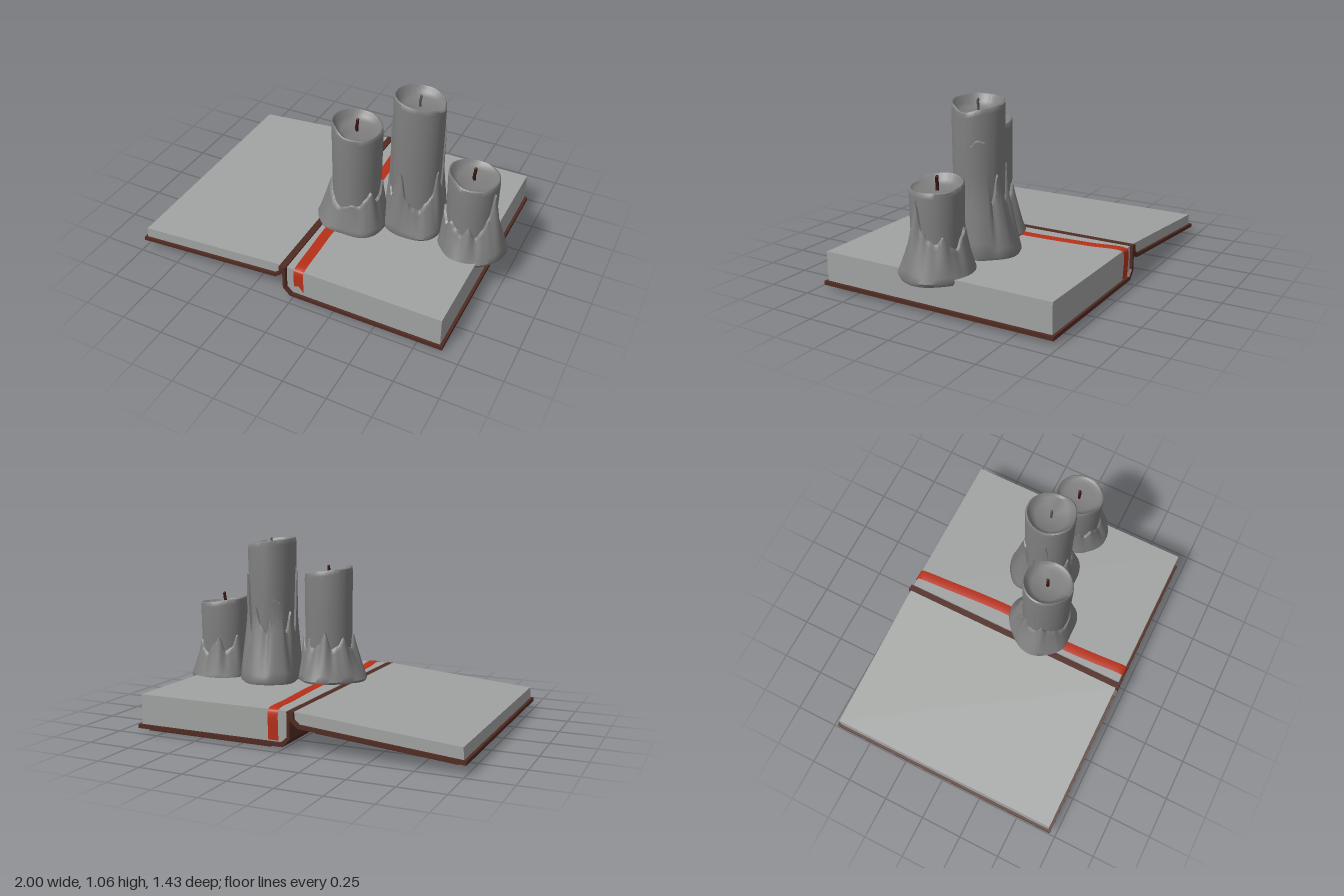
import * as THREE from 'three';
import { toCreasedNormals } from 'three/addons/utils/BufferGeometryUtils.js';

const mat = (color, side = THREE.FrontSide) => new THREE.MeshStandardMaterial({ color, side });
const paper = mat(0xa0a3a1), wax = mat(0x7e7e7e), leather = mat(0x502b22), darkLeather = mat(0x48241b);
const red = mat(0xb83018, THREE.DoubleSide), darkWick = mat(0x3a1512), greyWick = mat(0x5a5656);

function add(parent, name, geometry, material) {
  const mesh = new THREE.Mesh(geometry, material);
  mesh.name = name;
  parent.add(mesh);
  return mesh;
}

// Side profile (x, y) extruded along z, centred
function slab(points, depth) {
  const shape = new THREE.Shape(points.map(p => new THREE.Vector2(...p)));
  return new THREE.ExtrudeGeometry(shape, { depth, bevelEnabled: false }).translate(0, 0, -depth / 2);
}

// Eased value from a ring of evenly spaced samples; angle 0 is front, a quarter turn is +x
function ring(samples, angle) {
  const n = samples.length, f = (angle / (Math.PI * 2)) * n, i = Math.floor(f);
  return THREE.MathUtils.lerp(samples[i % n], samples[(i + 1) % n], THREE.MathUtils.smoothstep(f - i, 0, 1));
}

// Uneven lathe: each row is a rule angle -> [radius, y], listed so the outside goes up
function unevenLathe(rows, crease, n = 96) {
  const pos = [], index = [];
  rows.forEach(rule => {
    for (let i = 0; i < n; i++) {
      const a = (i / n) * Math.PI * 2, [r, y] = rule(a);
      pos.push(Math.sin(a) * r, y, Math.cos(a) * r);
    }
  });
  for (let j = 0; j < rows.length - 1; j++) {
    for (let i = 0; i < n; i++) {
      const a = j * n + i, b = j * n + (i + 1) % n;
      index.push(a, b, b + n, a, b + n, a + n);
    }
  }
  const g = new THREE.BufferGeometry();
  g.setAttribute('position', new THREE.Float32BufferAttribute(pos, 3));
  g.setIndex(index);
  return toCreasedNormals(g, crease);
}

function makeCandle({ name, x, z, base, rim, skirt, drips, pool, wick }) {
  const group = new THREE.Group();
  group.name = name;
  group.position.set(x, 0, z);
  const R = 0.141;
  const wobble = a => R + 0.003 * Math.sin(3 * a + x * 9);
  const top = a => ring(rim, a);

  // Shaft with a ragged thin rim and a sunken pool
  add(group, 'candleShaft', unevenLathe([
    a => [wobble(a) - 0.004, base],
    a => [wobble(a), base + (top(a) - base) * 0.6],
    a => [wobble(a) + 0.002, top(a) - 0.03],
    a => [wobble(a), top(a) - 0.005],
    a => [R - 0.006, top(a)],
    a => [R - 0.013, top(a) - 0.008],
    a => [R - 0.025, top(a) * 0.4 + pool * 0.6],
    a => [R - 0.05, pool + 0.006],
    () => [0.002, pool],
  ], 0.9), wax);

  // Melted skirt, its upper edge rising into drips
  const rows = [() => [0.002, base], a => [ring(skirt, a) - 0.01, base]];
  for (let k = 0; k <= 8; k++) {
    const t = k / 8;
    rows.push(a => {
      const y = 0.02 + (ring(drips, a) - base - 0.02) * t;
      const spread = Math.min((1 - t) ** 1.1, Math.max(0, 1 - (y - 0.02) / 0.36));
      return [0.151 + (ring(skirt, a) - 0.151) * spread, base + y];
    });
  }
  rows.push(a => [R - 0.008, ring(drips, a) + 0.012]);
  add(group, 'meltedWax', unevenLathe(rows, 0.8), wax);

  // Slightly bent wick
  const { height, radius, material } = wick;
  const path = new THREE.CatmullRomCurve3([[0, -0.01, 0], [-0.003, height * 0.4, 0], [0.001, height * 0.7, 0], [0.002, height, -0.002]]
    .map(([px, py, pz]) => new THREE.Vector3(px, pool + py, pz)));
  add(group, 'wick', new THREE.TubeGeometry(path, 8, radius, 8), material);
  const tip = add(group, 'wickTip', new THREE.SphereGeometry(radius, 8, 6), material);
  tip.position.copy(path.getPoint(1));
  return group;
}

// Flat ribbon laid along a path, width along x, ending in a swallowtail
function makeRibbon() {
  const curve = new THREE.CatmullRomCurve3([
    [0.045, 0.05, -0.707], [0.045, 0.2, -0.709], [0.046, 0.215, -0.697], [0.06, 0.215, -0.5], [0.075, 0.215, -0.25],
    [0.078, 0.215, -0.08], [0.05, 0.215, 0.15], [0.03, 0.215, 0.3], [0.035, 0.215, 0.5], [0.045, 0.215, 0.697],
    [0.045, 0.2, 0.709], [0.045, 0.1, 0.711],
  ].map(p => new THREE.Vector3(...p)));
  const pos = [], index = [], n = 72;
  for (let i = 0; i <= n; i++) {
    const p = curve.getPoint(i / n);
    const dome = Math.abs(p.z) < 0.69 ? 0.004 : 0;
    const notch = i === n ? 0.01 : 0;
    for (const s of [-1, 0, 1]) {
      const drop = i === n && s === 1 ? 0.03 : 0;
      pos.push(p.x + s * 0.03, p.y + (s === 0 ? dome + notch : 0) - drop, p.z);
    }
    if (i < n) for (const k of [0, 1]) {
      const a = i * 3 + k;
      index.push(a, a + 3, a + 1, a + 1, a + 3, a + 4);
    }
  }
  const g = new THREE.BufferGeometry();
  g.setAttribute('position', new THREE.Float32BufferAttribute(pos, 3));
  g.setIndex(index);
  g.computeVertexNormals();
  return g;
}

export function createModel() {
  const model = new THREE.Group();

  // Open book: page blocks
  const book = new THREE.Group();
  book.name = 'openBook';
  model.add(book);
  add(book, 'rightPages', slab([[0.002, 0.04], [0.88, 0.04], [0.88, 0.212], [-0.032, 0.212], [-0.034, 0.075]], 1.4), paper);
  add(book, 'leftPages', slab([[-0.985, 0.072], [-0.105, 0.149], [-0.077, 0.175], [-0.075, 0.213], [-0.98, 0.135]], 1.4), paper);

  // Covers, with the spine folded between them
  add(book, 'rightCover', slab([[-0.012, 0.02], [0.897, 0.02], [0.897, 0.042], [0, 0.042], [-0.037, 0.075],
    [-0.037, 0.212], [-0.055, 0.212], [-0.055, 0.065]], 1.43), leather);
  add(book, 'leftCover', slab([[-1, 0.05], [-0.1, 0.128], [-0.055, 0.165], [-0.055, 0.212], [-0.075, 0.212],
    [-0.075, 0.175], [-0.105, 0.149], [-1, 0.071]], 1.43), leather);
  add(book, 'rightCoverPanel', slab([[0.08, 0], [0.853, 0], [0.853, 0.021], [0.08, 0.021]], 1.34), darkLeather);
  add(book, 'leftCoverPanel', slab([[-0.95, 0.035], [-0.18, 0.102], [-0.18, 0.122], [-0.95, 0.055]], 1.34), darkLeather);

  add(book, 'ribbonBookmark', makeRibbon(), red);

  // Candles: rim and skirt samples run from the front towards +x and round the back
  const candles = [
    {
      name: 'middleHeightCandle', x: 0.114, z: 0.135, base: 0.205, pool: 0.815,
      wick: { height: 0.07, radius: 0.009, material: darkWick },
      rim: [0.845, 0.835, 0.835, 0.85, 0.865, 0.88, 0.885, 0.89],
      skirt: [0.18, 0.205, 0.19, 0.195, 0.225, 0.215, 0.235, 0.215],
      drips: [0.38, 0.4, 0.39, 0.43, 0.47, 0.4, 0.42, 0.5, 0.4, 0.38, 0.46, 0.4,
        0.43, 0.5, 0.4, 0.42, 0.47, 0.41, 0.4, 0.48, 0.42, 0.4, 0.37, 0.36],
    },
    {
      name: 'tallCandle', x: 0.424, z: 0, base: 0.205, pool: 0.985,
      wick: { height: 0.065, radius: 0.007, material: greyWick },
      rim: [1.05, 1.035, 1.0, 1.02, 1.035, 1.05, 1.055, 1.06],
      skirt: [0.19, 0.21, 0.185, 0.2, 0.235, 0.23, 0.17, 0.195],
      drips: [0.44, 0.39, 0.37, 0.42, 0.46, 0.62, 0.5, 0.82, 0.85, 0.84, 0.5, 0.66,
        0.55, 0.5, 0.7, 0.68, 0.5, 0.62, 0.5, 0.88, 0.46, 0.42, 0.52, 0.61],
    },
    {
      name: 'shortCandle', x: 0.772, z: 0.03, base: 0.18, pool: 0.63,
      wick: { height: 0.073, radius: 0.009, material: darkWick },
      rim: [0.655, 0.65, 0.65, 0.655, 0.665, 0.68, 0.69, 0.685],
      skirt: [0.215, 0.215, 0.225, 0.205, 0.2, 0.2, 0.165, 0.185],
      drips: [0.34, 0.4, 0.33, 0.38, 0.45, 0.6, 0.45, 0.4, 0.38, 0.42, 0.36, 0.34,
        0.4, 0.44, 0.36, 0.38, 0.46, 0.4, 0.36, 0.44, 0.4, 0.36, 0.4, 0.37],
    },
  ];
  candles.forEach(c => model.add(makeCandle(c)));
  return model;
}
